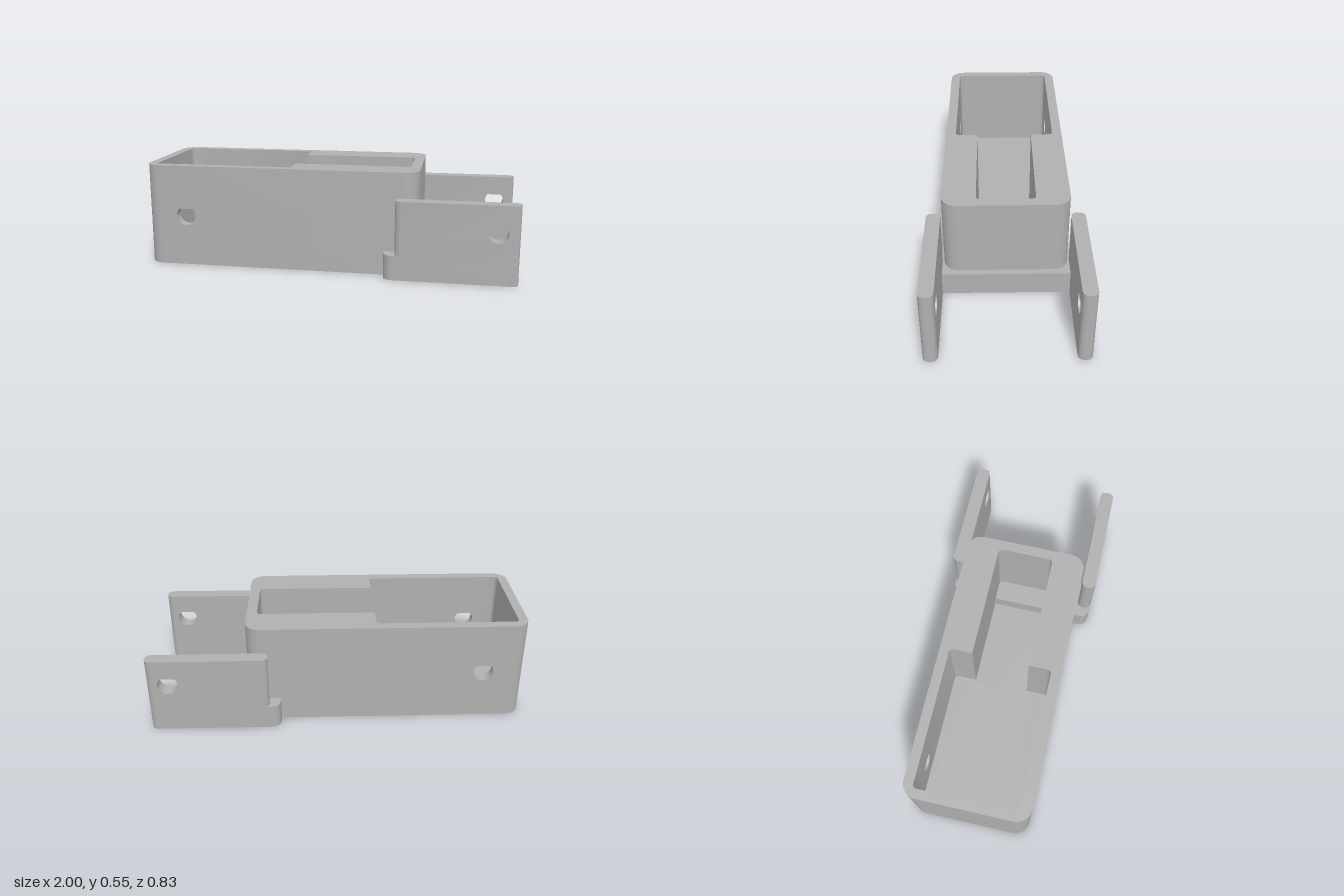
import * as THREE from 'three';
import { toCreasedNormals } from 'three/addons/utils/BufferGeometryUtils.js';

const H = 0.55, HALF = 0.328, POCKET = 0.275, SLOT = 0.152;
const SLOT_FLOOR = 0.05, POCKET_FLOOR = 0.08;
const ARM_IN = 0.338, ARM_T = 0.075, ARM_H = 0.417, FOOT_H = 0.13;

// Closed outline from [x, y, cornerRadius] points
function outline(points, Type = THREE.Shape) {
  const shape = new Type();
  const n = points.length;
  points.forEach(([x, y, r = 0], i) => {
    const p = new THREE.Vector2(x, y);
    const toward = (q, d) => new THREE.Vector2(q[0], q[1]).sub(p).setLength(d).add(p);
    const prev = points[(i + n - 1) % n], next = points[(i + 1) % n];
    const a = r ? toward(prev, r) : p;
    if (i === 0) shape.moveTo(a.x, a.y); else shape.lineTo(a.x, a.y);
    if (!r) return;
    const c1 = toward(prev, r * 0.448), c2 = toward(next, r * 0.448), b = toward(next, r);
    shape.bezierCurveTo(c1.x, c1.y, c2.x, c2.y, b.x, b.y);
  });
  shape.closePath();
  return shape;
}

const rect = (x0, x1, z, r) => [[x0, z, r], [x1, z, r], [x1, -z, r], [x0, -z, r]];

// Teardrop pin hole: circle with a 45 degree point on top
function teardrop(cx, cy, r) {
  const path = new THREE.Path();
  path.moveTo(cx, cy + r * Math.SQRT2);
  path.absarc(cx, cy, r, Math.PI * 0.75, Math.PI * 2.25, false);
  path.closePath();
  return path;
}

// Plan shape extruded upward from y0 to y1
function upright(shape, y0, y1) {
  const g = new THREE.ExtrudeGeometry(shape, { depth: y1 - y0, bevelEnabled: false, curveSegments: 10 });
  g.rotateX(-Math.PI / 2).translate(0, y0, 0);
  return toCreasedNormals(g, 0.6);
}

// Side arm with pin hole; its upright ends are rounded by pulling them in near each face
function armGeometry(side) {
  const shape = outline([[0.31, 0], [1, 0], [1, ARM_H], [0.37, ARM_H], [0.37, FOOT_H], [0.31, FOOT_H]]);
  shape.holes.push(teardrop(0.89, 0.275, 0.053));
  const g = new THREE.ExtrudeGeometry(shape, { depth: ARM_T, steps: 24, bevelEnabled: false, curveSegments: 24 });
  const inset = (d, r) => (d < r ? r - Math.sqrt(Math.max(0, r * r - (r - d) ** 2)) : 0);
  const p = g.attributes.position;
  for (let i = 0; i < p.count; i++) {
    const x = p.getX(i), z = p.getZ(i);
    const outer = side > 0 ? ARM_T - z : z;
    const edge = Math.min(z, ARM_T - z);
    if (Math.abs(x - 1) < 1e-4) p.setX(i, x - inset(edge, 0.03));
    else if (Math.abs(x - 0.37) < 1e-4) p.setX(i, x + inset(edge, 0.03));
    else if (Math.abs(x - 0.31) < 1e-4) p.setX(i, x + inset(outer, 0.05));
  }
  g.translate(0, 0, side > 0 ? ARM_IN : -ARM_IN - ARM_T);
  return toCreasedNormals(g, 0.7);
}

export function createModel() {
  const gray = new THREE.MeshStandardMaterial({ color: 0xb0b0b0 });
  gray.name = 'plain gray';
  const model = new THREE.Group();
  model.name = 'bracketBox';
  const add = (name, geometry) => {
    const mesh = new THREE.Mesh(geometry, gray);
    mesh.name = name;
    model.add(mesh);
    return mesh;
  };

  // Floor, with the narrow slot sunk deeper than the wide pocket
  const body = rect(-1, 0.485, HALF, 0.08);
  add('floor', upright(outline(body), 0, SLOT_FLOOR));
  const ledge = outline(body);
  ledge.holes.push(outline(rect(-0.22, 0.43, SLOT, 0.02), THREE.Path));
  add('pocketFloor', upright(ledge, SLOT_FLOOR, POCKET_FLOOR));

  // Walls on both sides of the drilled panels
  const x0 = -0.86, x1 = -0.69;
  add('endWall', upright(outline([
    [x0, HALF], [-1, HALF, 0.08], [-1, -HALF, 0.08], [x0, -HALF],
    [x0, -POCKET], [-0.95, -POCKET, 0.02], [-0.95, POCKET, 0.02], [x0, POCKET],
  ]), POCKET_FLOOR, H));
  add('slotWall', upright(outline([
    [x1, HALF], [0.485, HALF, 0.08], [0.485, -HALF, 0.08], [x1, -HALF],
    [x1, -POCKET], [-0.2, -POCKET, 0.02], [-0.2, -SLOT], [0.43, -SLOT, 0.02],
    [0.43, SLOT, 0.02], [-0.2, SLOT], [-0.2, POCKET, 0.02], [x1, POCKET],
  ]), POCKET_FLOOR, H));

  // Drilled wall panels
  const panel = outline([[x0, POCKET_FLOOR], [x1, POCKET_FLOOR], [x1, H], [x0, H]]);
  panel.holes.push(teardrop(-0.775, 0.275, 0.053));
  const panelGeometry = toCreasedNormals(new THREE.ExtrudeGeometry(panel,
    { depth: HALF - POCKET, bevelEnabled: false, curveSegments: 24 }), 0.6);
  add('frontDrilledPanel', panelGeometry).position.z = POCKET;
  add('backDrilledPanel', panelGeometry).position.z = -HALF;

  // Cross bar that carries the two arms
  add('crossBar', new THREE.BoxGeometry(0.21, FOOT_H, ARM_IN * 2)).position.set(0.415, FOOT_H / 2, 0);
  add('frontArm', armGeometry(1));
  add('backArm', armGeometry(-1));
  return model;
}
